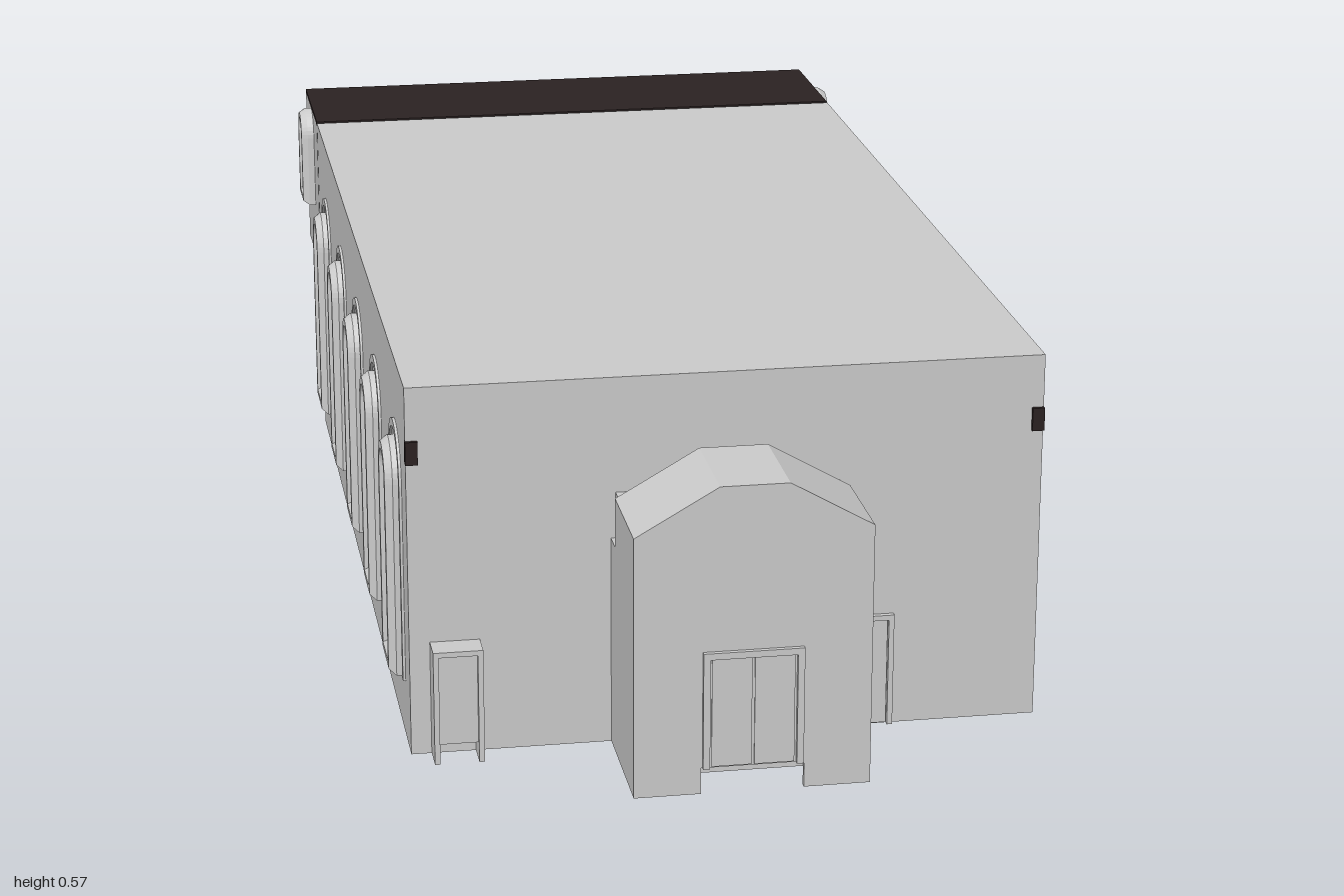
import * as THREE from 'three';

const mat = (name, color, double) => {
  const m = new THREE.MeshStandardMaterial({ color });
  m.name = name;
  if (double) m.side = THREE.DoubleSide;
  return m;
};

export function createModel() {
  const model = new THREE.Group();
  model.name = 'chapel';
  const stone = mat('stone grey', 0xcccccc, true);
  const wood = mat('brown wood', 0x703c1a);
  const dark = mat('dark roofing', 0x2b2222);

  const add = (parent, name, geo, m) => {
    const mesh = new THREE.Mesh(geo, m);
    mesh.name = name;
    parent.add(mesh);
    return mesh;
  };
  // Box given by its minimum and maximum on each axis
  const box = (name, m, x0, x1, y0, y1, z0, z1, parent = model) => {
    const b = add(parent, name, new THREE.BoxGeometry(x1 - x0, y1 - y0, z1 - z0), m);
    b.position.set((x0 + x1) / 2, (y0 + y1) / 2, (z0 + z1) / 2);
    return b;
  };
  // Round-headed outline, centred on x = 0
  const trace = (path, half, y0, top) => {
    path.moveTo(-half, y0);
    path.lineTo(half, y0);
    path.lineTo(half, top - half);
    path.absarc(0, top - half, half, 0, Math.PI, false);
    path.lineTo(-half, y0);
    return path;
  };
  const arch = (half, y0, top) => trace(new THREE.Shape(), half, y0, top);
  const extrude = (shape, depth, bevel = 0, thick = 0) => new THREE.ExtrudeGeometry(shape, {
    depth, bevelEnabled: bevel > 0, bevelSize: bevel, bevelThickness: thick, bevelSegments: 1, curveSegments: 10,
  });

  // Arched window with a bevelled frame, facing local +z
  const archWindow = (half, y0, top, out) => {
    const g = new THREE.Group();
    g.name = 'archedWindow';
    const b = half * 0.15;
    const frame = arch(half - b, y0 + b, top - b);
    frame.holes.push(trace(new THREE.Path(), half * 0.65, y0 + half * 0.3, top - half * 0.35));
    add(g, 'windowFrame', extrude(frame, out * 0.5, b, out * 0.5), stone);
    add(g, 'windowPane', extrude(arch(half * 0.66, y0 + half * 0.3, top - half * 0.34), 0.005), stone);
    model.add(g);
    return g;
  };

  // Main hall
  box('hall', stone, -0.468, 0.468, 0, 0.565, -0.715, 0.79);

  // Side windows with a shallow moulding round each
  for (const s of [-1, 1]) {
    for (let i = 0; i < 5; i++) {
      const w = archWindow(0.056, 0.09, 0.445, 0.022);
      const ring = arch(0.078, 0.09, 0.47);
      ring.holes.push(trace(new THREE.Path(), 0.066, 0.09, 0.458));
      add(w, 'windowMoulding', extrude(ring, 0.004), stone);
      w.position.set(s * 0.468, 0, 0.65 - i * 0.299);
      w.rotation.y = s * Math.PI / 2;
    }
    const w = archWindow(0.045, 0.39, 0.56, 0.022);
    w.position.set(s * 0.468, 0, -0.845);
    w.rotation.y = s * Math.PI / 2;
    // Dark brackets at the front corners
    const c = s * 0.4595;
    box('cornerBracket', dark, c - 0.009, c + 0.009, 0.45, 0.485, 0.782, 0.796);
  }

  // Rear gallery: raised, open below and towards the hall
  box('galleryRoof', dark, -0.468, 0.468, 0.56, 0.566, -0.97, -0.722);
  box('galleryBackWall', stone, -0.467, 0.467, 0.285, 0.56, -0.967, -0.957);
  for (const s of [-1, 1]) {
    const c = s * 0.463;
    box('gallerySideWall', stone, c - 0.005, c + 0.005, 0.285, 0.56, -0.967, -0.722);
  }
  for (const [x, half, y0, top, out] of [[0, 0.045, 0.39, 0.55, 0.015], [-0.09, 0.025, 0.395, 0.46, 0.033], [0.09, 0.025, 0.395, 0.46, 0.033]]) {
    const w = archWindow(half, y0, top, out);
    w.position.set(x, 0, -0.967);
    w.rotation.y = Math.PI;
  }

  // Wooden panelling on the rear wall, with three arched niches
  box('woodPanelling', wood, -0.468, 0.468, 0.02, 0.36, -0.722, -0.715);
  for (const [x, half, top] of [[-0.218, 0.04, 0.16], [0, 0.064, 0.215], [0.218, 0.04, 0.16]]) {
    const n = add(model, 'niche', extrude(arch(half, 0.015, top), 0.004), stone);
    n.position.set(x, 0, -0.725);
  }
  // Lobed rosette and wooden cross above the panelling
  for (const [x, y] of [[-0.085, 0.43], [0.085, 0.43], [0, 0.475]]) {
    const d = add(model, 'rosetteLobe', new THREE.CylinderGeometry(0.08, 0.08, 0.012, 24), stone);
    d.rotation.x = Math.PI / 2;
    d.position.set(x, y, -0.721);
  }
  box('crossUpright', wood, -0.014, 0.014, 0.33, 0.47, -0.737, -0.727);
  box('crossArm', wood, -0.05, 0.05, 0.41, 0.435, -0.737, -0.727);

  // Front porch: gabled shell, open below, with a notch under the doors
  const gable = [[0.172, 0.395], [0.05, 0.465], [-0.05, 0.465], [-0.172, 0.395]];
  const shell = new THREE.Shape([[0.172, 0], ...gable, [-0.172, 0], [-0.162, 0], [-0.162, 0.39],
    [-0.048, 0.455], [0.048, 0.455], [0.162, 0.39], [0.162, 0]].map(p => new THREE.Vector2(...p)));
  const face = new THREE.Shape([[0.172, 0], ...gable, [-0.172, 0], [-0.075, 0], [-0.075, 0.04],
    [0.075, 0.04], [0.075, 0]].map(p => new THREE.Vector2(...p)));
  add(model, 'porchShell', extrude(shell, 0.157), stone).position.z = 0.83;
  add(model, 'porchFront', extrude(face, 0.008), stone).position.z = 0.985;
  const rear = new THREE.Shape([...gable, [-0.172, 0.32], [0.172, 0.32]].map(p => new THREE.Vector2(...p)));
  add(model, 'porchRear', extrude(rear, 0.006), stone).position.z = 0.829;
  box('porchLink', stone, -0.165, 0.165, 0.315, 0.39, 0.79, 0.83);
  for (const s of [-1, 1]) {
    const c = s * 0.167;
    box('porchLinkWall', stone, c - 0.005, c + 0.005, 0, 0.32, 0.79, 0.83);
  }
  box('porchFloor', stone, -0.163, 0.163, 0.03, 0.04, 0.79, 0.987);

  // Doors with a raised frame around their leaves
  const doorway = (x0, x1, y0, y1, z, t, depth) => {
    const g = new THREE.Group();
    g.name = 'doorway';
    model.add(g);
    box('doorPostRight', stone, x0, x0 + t, y0, y1, z, z + depth, g);
    box('doorPostLeft', stone, x1 - t, x1, y0, y1, z, z + depth, g);
    box('doorLintel', stone, x0 + t, x1 - t, y1 - t, y1, z, z + depth, g);
    return g;
  };
  const main = doorway(-0.073, 0.073, 0.04, 0.218, 0.992, 0.01, 0.008);
  for (const s of [-1, 1]) box('doorLeaf', stone, s * 0.031 - 0.029, s * 0.031 + 0.029, 0.042, 0.206, 0.992, 0.995, main);
  const side = doorway(0.18, 0.25, 0, 0.175, 0.79, 0.008, 0.008);
  box('doorLeaf', stone, 0.189, 0.241, 0.002, 0.166, 0.79, 0.793, side);
  const booth = doorway(-0.438, -0.365, 0, 0.175, 0.79, 0.008, 0.043);
  box('boothDoor', stone, -0.43, -0.373, 0.028, 0.167, 0.79, 0.825, booth);

  // Pew feet showing as thin strips under the floor, and the step line
  for (let row = 0; row < 6; row++) {
    for (let i = 0; i < 11; i++) {
      const x = -0.35 + row * 0.14, z = 0.6 - i * 0.085;
      box('pewFoot', wood, x - 0.002, x + 0.002, -0.0006, 0.001, z - 0.018, z + 0.018);
    }
  }
  for (const z of [-0.39, -0.42]) box('floorStepLine', stone, -0.468, 0.468, -0.001, 0.001, z - 0.003, z + 0.003);

  return model;
}
